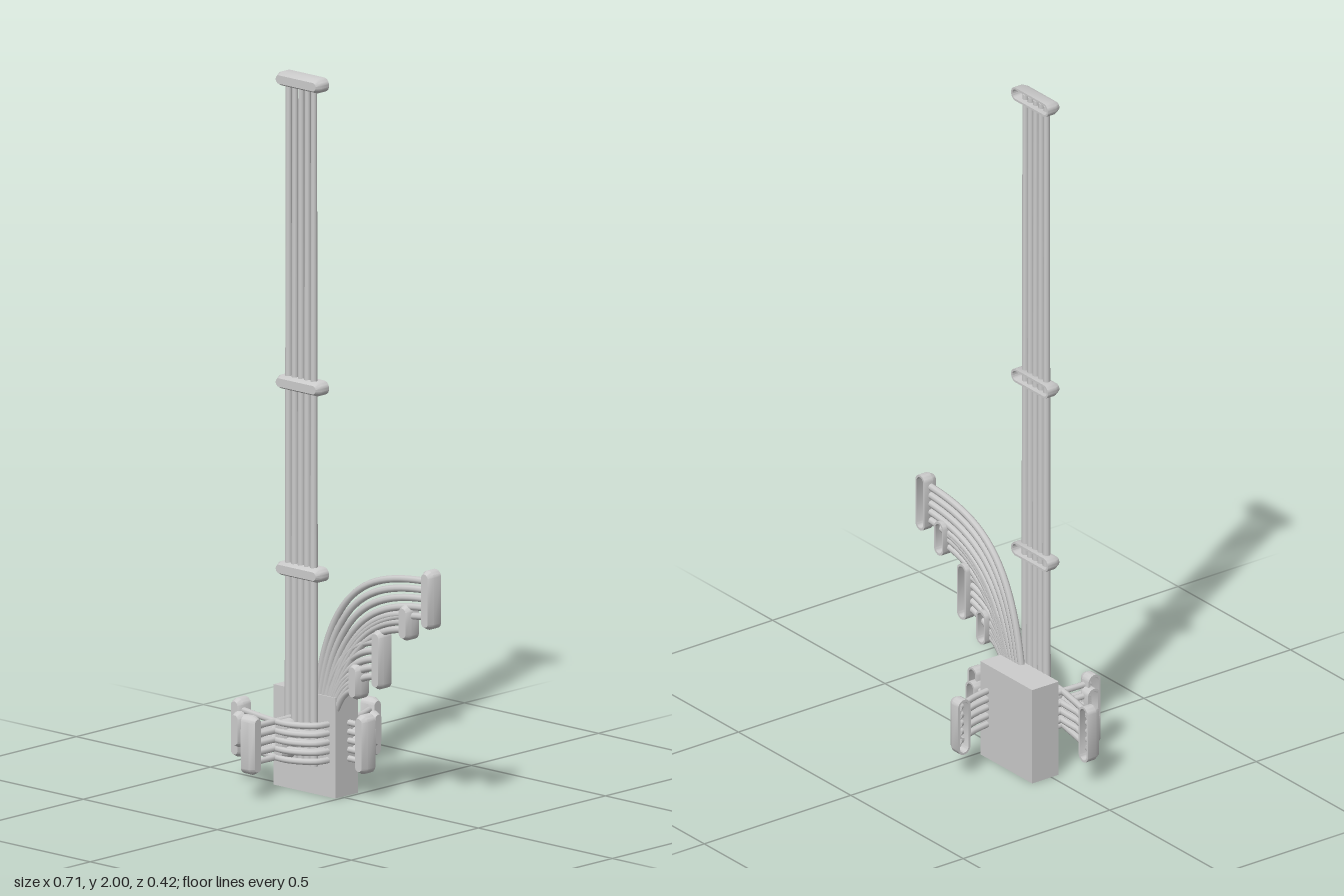
import * as THREE from 'three';
import { toCreasedNormals } from 'three/addons/utils/BufferGeometryUtils.js';

const material = new THREE.MeshStandardMaterial({ color: 0xcccccc });
const V = (p) => new THREE.Vector3(...p);

function add(parent, geometry, name) {
  const mesh = new THREE.Mesh(geometry, material);
  mesh.name = name;
  parent.add(mesh);
  return mesh;
}

// Long rounded cap: hollow and open towards -z, bevelled towards +z, long along y
function capGeometry(length, width = 0.042, depth = 0.045) {
  const r = width / 2, d = depth / 2;
  const profile = [
    [0, d * 0.3], [r * 0.7, d * 0.3], [r * 0.7, -d], [r, -d],
    [r, d * 0.3], [r * 0.6, d], [0, d],
  ].map(([x, y]) => new THREE.Vector2(x, y));
  const geometry = new THREE.LatheGeometry(profile, 16, Math.PI / 16);
  geometry.rotateX(Math.PI / 2);
  // Pull the two halves of the round cap apart
  const pos = geometry.attributes.position;
  const segmentAngle = Math.PI / 8;
  for (let i = 0; i < pos.count; i++) {
    const phi = Math.PI / 16 + Math.floor(i / profile.length) * segmentAngle;
    const side = Math.cos(phi) > 0 ? -1 : 1;
    pos.setY(i, pos.getY(i) + side * (length - width) / 2);
  }
  return toCreasedNormals(geometry, 0.6);
}

function addCap(parent, name, length, position, turn = 0) {
  const cap = add(parent, capGeometry(length), name);
  cap.position.set(...position);
  cap.rotation.y = turn;
}

// Rod swept along a curve, with closed ends
function addRod(parent, curve, radius, name) {
  add(parent, new THREE.TubeGeometry(curve, 28, radius, 8), name);
  for (const t of [0, 1]) {
    const end = add(parent, new THREE.CircleGeometry(radius, 8), name + 'End');
    const p = curve.getPoint(t);
    end.position.copy(p);
    end.lookAt(p.clone().addScaledVector(curve.getTangent(t), t ? 1 : -1));
  }
}

// Level arm: stacked rods following one plan path of [x, z] points
function addLevelArm(parent, name, path, count, spread, capLength, turn) {
  const arm = new THREE.Group();
  arm.name = name;
  const yMid = 0.152;
  for (let i = 0; i < count; i++) {
    const y = yMid + (i / (count - 1) - 0.5) * spread;
    const curve = new THREE.CatmullRomCurve3(path.map(([x, z]) => V([x, y, z])));
    addRod(arm, curve, 0.009, 'armRod');
  }
  const [x, z] = path[path.length - 1];
  addCap(arm, 'armCap', capLength, [x, yMid, z], turn);
  parent.add(arm);
}

// Rising arm: rods blended between an upper and a lower Bezier of [x, y] points
function addRisingArm(parent, name, upper, lower, count, capLength) {
  const arm = new THREE.Group();
  arm.name = name;
  for (let i = 0; i < count; i++) {
    const t = i / (count - 1);
    const points = upper.map(([x, y], k) => V([
      THREE.MathUtils.lerp(x, lower[k][0], t),
      THREE.MathUtils.lerp(y, lower[k][1], t),
      0.012,
    ]));
    addRod(arm, new THREE.CubicBezierCurve3(...points), 0.01, 'armRod');
  }
  const y = (upper[3][1] + lower[3][1]) / 2;
  addCap(arm, 'armCap', capLength, [upper[3][0], y, 0.012]);
  parent.add(arm);
}

export function createModel() {
  const model = new THREE.Group();
  model.name = 'rodMast';

  // Base block
  const base = add(model, new THREE.BoxGeometry(0.23, 0.28, 0.09), 'baseBlock');
  base.position.set(-0.125, 0.14, -0.02);

  // Mast of parallel rods with three collars
  const mast = new THREE.Group();
  mast.name = 'mast';
  for (let i = 0; i < 5; i++) {
    const rod = add(mast, new THREE.CylinderGeometry(0.0085, 0.0115, 1.9, 10), 'mastRod');
    rod.position.set(-0.128 + (i - 2) * 0.0235, 1.03, 0.034);
  }
  for (const y of [0.615, 1.135, 1.98]) {
    const collar = add(mast, capGeometry(0.165, 0.04, 0.045), 'mastCollar');
    collar.position.set(-0.128, y, 0.034);
    collar.rotation.z = Math.PI / 2;
  }
  model.add(mast);

  // Arms curving up and away to the left of the model
  addRisingArm(model, 'highArm',
    [[-0.1, 0.2], [-0.06, 0.6], [0.1, 0.65], [0.331, 0.66]],
    [[-0.06, 0.15], [-0.02, 0.46], [0.12, 0.55], [0.331, 0.56]], 5, 0.165);
  addRisingArm(model, 'highSideArm',
    [[-0.065, 0.15], [-0.02, 0.44], [0.1, 0.54], [0.248, 0.555]],
    [[-0.06, 0.14], [-0.01, 0.4], [0.1, 0.5], [0.248, 0.512]], 3, 0.1);
  addRisingArm(model, 'lowArm',
    [[-0.085, 0.14], [-0.05, 0.37], [0.03, 0.45], [0.146, 0.46]],
    [[-0.05, 0.12], [-0.03, 0.3], [0.05, 0.355], [0.146, 0.365]], 5, 0.165);
  addRisingArm(model, 'lowSideArm',
    [[-0.06, 0.12], [-0.04, 0.3], [0.01, 0.35], [0.061, 0.36]],
    [[-0.05, 0.11], [-0.03, 0.27], [0.01, 0.305], [0.061, 0.315]], 3, 0.1);

  // Level arms around the base
  const quarter = Math.PI / 2;
  addLevelArm(model, 'rightArm',
    [[-0.035, 0], [-0.05, 0.06], [-0.12, 0.098], [-0.22, 0.086], [-0.333, 0.06]], 5, 0.1, 0.165, 0);
  addLevelArm(model, 'rightSideArm',
    [[-0.05, 0], [-0.065, 0.055], [-0.12, 0.08], [-0.22, 0.08], [-0.316, 0.077]], 3, 0.05, 0.1, 0);
  addLevelArm(model, 'frontArm',
    [[-0.165, 0.02], [-0.165, 0.1], [-0.168, 0.186]], 5, 0.1, 0.165, quarter);
  addLevelArm(model, 'frontSideArm',
    [[-0.18, 0.02], [-0.18, 0.1], [-0.183, 0.172]], 3, 0.05, 0.1, quarter);
  addLevelArm(model, 'backArm',
    [[-0.035, -0.04], [-0.05, -0.12], [-0.078, -0.19]], 5, 0.1, 0.165, quarter);
  addLevelArm(model, 'backSideArm',
    [[-0.03, -0.04], [-0.04, -0.11], [-0.06, -0.174]], 3, 0.05, 0.1, quarter);
  addLevelArm(model, 'leftArm', [[-0.04, -0.03], [0, -0.03], [0.047, -0.028]], 5, 0.1, 0.165, 0);
  addLevelArm(model, 'leftSideArm', [[-0.04, -0.05], [0, -0.05], [0.034, -0.045]], 3, 0.05, 0.1, 0);
  addCap(model, 'mastFootCap', 0.11, [-0.15, 0.152, 0.078]);

  return model;
}
